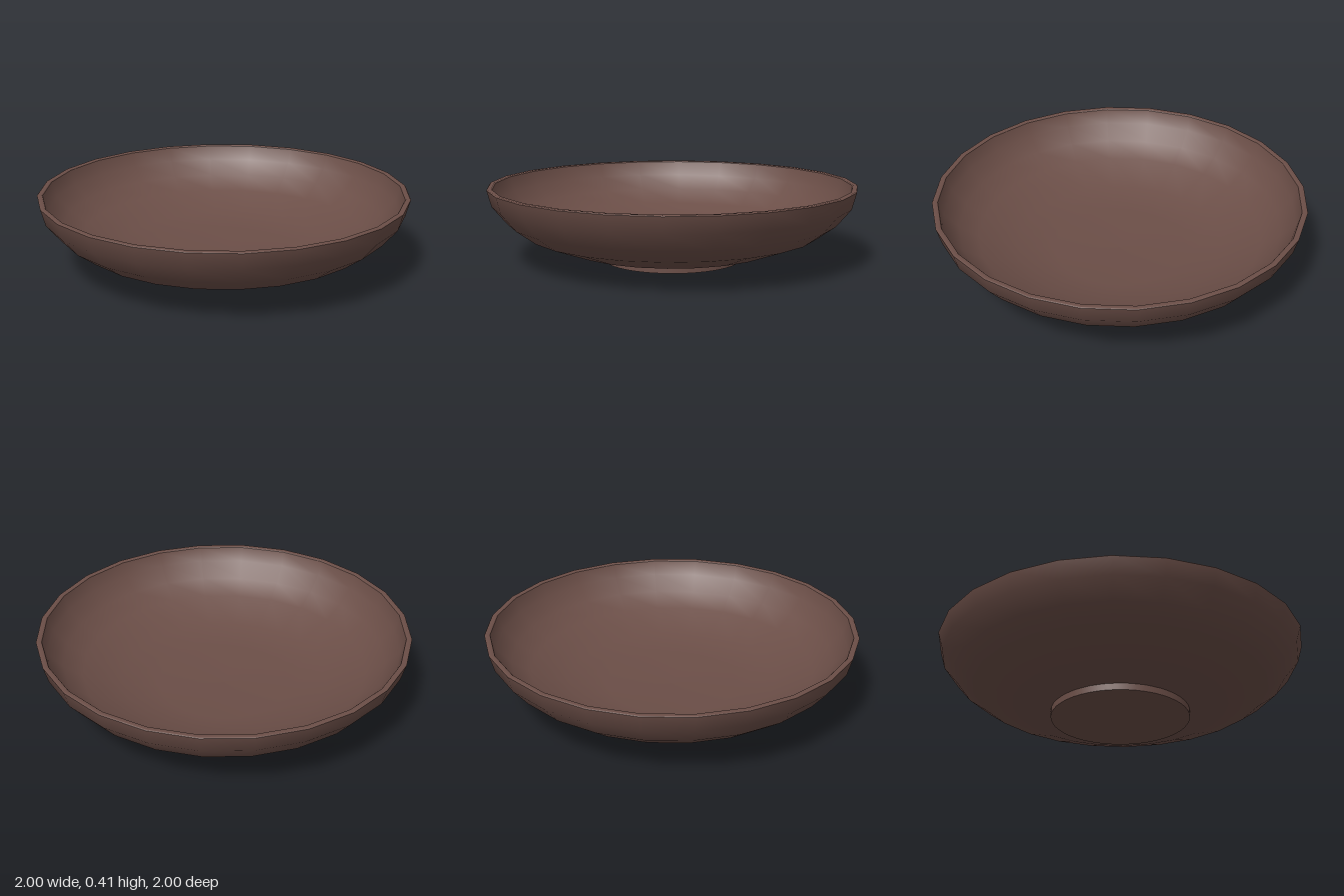
import * as THREE from 'three';

export function createModel() {
  const group = new THREE.Group();
  const brown = new THREE.MeshStandardMaterial({ color: 0x6b4e47 });
  brown.name = 'dark brown clay';

  // Each surface is turned separately so the rim edges stay sharp
  const turn = (name, profile, sides = 24) => {
    const points = profile.map(([r, y]) => new THREE.Vector2(r, y));
    const mesh = new THREE.Mesh(new THREE.LatheGeometry(points, sides), brown);
    mesh.name = name;
    group.add(mesh);
  };

  // Bowl outside, from the underside up to the lip
  turn('bowlOutside', [
    [0, 0.02], [0.37, 0.035], [0.57, 0.07], [0.79, 0.15],
    [0.895, 0.225], [0.975, 0.32], [1, 0.41],
  ]);

  // Narrow lip with a slight bevel
  turn('rim', [[1, 0.41], [0.995, 0.415], [0.975, 0.415], [0.97, 0.41]]);

  // Bowl inside, from the lip down to the floor
  turn('bowlInside', [
    [0.97, 0.41], [0.945, 0.33], [0.87, 0.25], [0.77, 0.18],
    [0.56, 0.105], [0.36, 0.075], [0, 0.067],
  ]);

  // Solid round foot
  const foot = new THREE.Mesh(new THREE.CylinderGeometry(0.375, 0.375, 0.06, 48), brown);
  foot.name = 'foot';
  foot.position.y = 0.03;
  group.add(foot);

  return group;
}
